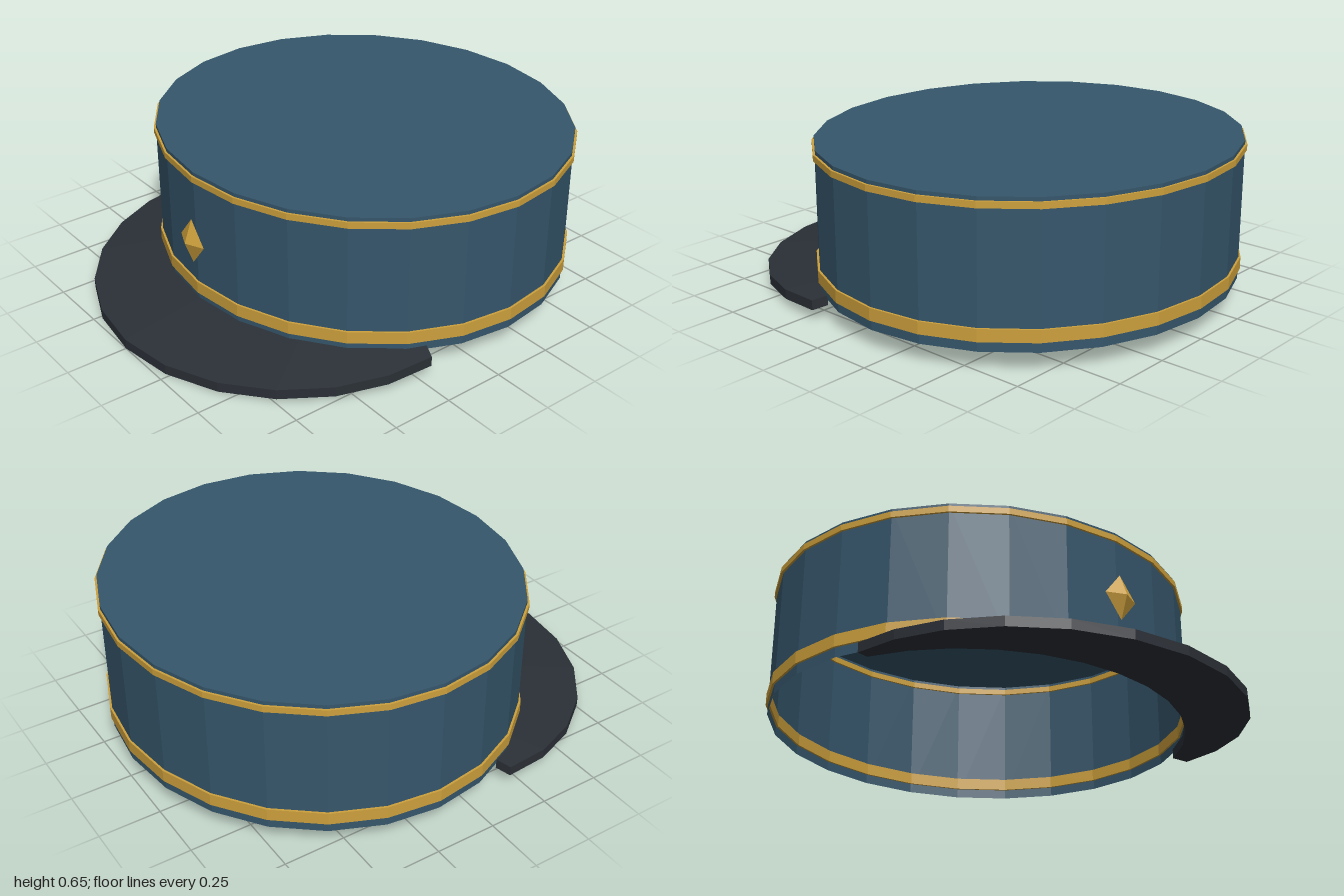
import * as THREE from 'three';

const SIDES = 24;
const RX = 0.88, RZ = 0.822, CENTER_Z = -0.163;

const material = (name, color, side = THREE.FrontSide) =>
  new THREE.MeshStandardMaterial({ name, color, side, flatShading: true });

// Oval ring or shell turned from a profile of [radius, height] pairs
function turned(name, profile, mat) {
  const points = profile.map(([r, y]) => new THREE.Vector2(r, y));
  const mesh = new THREE.Mesh(new THREE.LatheGeometry(points, SIDES), mat);
  mesh.name = name;
  mesh.scale.z = RZ / RX;
  mesh.position.z = CENTER_Z;
  return mesh;
}

// Trim band that passes through the wall and shows on both sides
function band(name, y0, y1, mat) {
  const inner = 0.871, outer = 0.889;
  return turned(name, [[outer, y0], [outer, y1], [inner, y1], [inner, y0], [outer, y0]], mat);
}

// Crescent visor: widest and lowest at the front, built from radial sections
function visorGeometry() {
  const steps = 12, halfAngle = THREE.MathUtils.degToRad(65.4), thick = 0.04;
  const positions = [], index = [];
  for (let i = 0; i <= steps; i++) {
    const t = (i / steps) * 2 - 1;
    const a = t * halfAngle;
    const bulge = Math.cos(t * Math.PI / 2);
    const outer = 1.062 + 0.353 * bulge;
    const inner = 0.99;
    const yOuter = 0.085 - 0.045 * bulge;
    const yInner = 0.095;
    for (const [r, y] of [[inner, yInner], [outer, yOuter], [outer, yOuter - thick], [inner, yInner - thick]]) {
      positions.push(RX * r * Math.sin(a), y, CENTER_Z + RZ * r * Math.cos(a));
    }
  }
  for (let i = 0; i < steps; i++) {
    for (let k = 0; k < 4; k++) {
      const a = i * 4 + k, b = i * 4 + (k + 1) % 4;
      index.push(a, b, b + 4, a, b + 4, a + 4);
    }
  }
  // end caps
  const e = steps * 4;
  index.push(0, 2, 1, 0, 3, 2, e, e + 1, e + 2, e, e + 2, e + 3);
  const geometry = new THREE.BufferGeometry();
  geometry.setAttribute('position', new THREE.Float32BufferAttribute(positions, 3));
  geometry.setIndex(index);
  geometry.computeVertexNormals();
  return geometry;
}

export function createModel() {
  const blue = material('blueCloth', 0x35566b, THREE.DoubleSide);
  const gold = material('goldTrim', 0xcda03c);
  const dark = material('darkVisor', 0x2b3037);

  const hat = new THREE.Group();
  hat.name = 'peakedCap';

  // Crown: wall and flat top, open underneath
  hat.add(turned('crown', [[RX, 0.08], [RX, 0.65], [0, 0.65]], blue));
  hat.add(band('lowerBand', 0.12, 0.17, gold));
  hat.add(band('upperBand', 0.61, 0.635, gold));

  const visor = new THREE.Mesh(visorGeometry(), dark);
  visor.name = 'visor';
  hat.add(visor);

  // Badge: four-sided pyramid pointing forward
  const badgeGeometry = new THREE.ConeGeometry(1, 1, 4).rotateX(Math.PI / 2);
  badgeGeometry.scale(0.078, 0.095, 0.035);
  const badge = new THREE.Mesh(badgeGeometry, gold);
  badge.name = 'badge';
  badge.position.set(0, 0.36, 0.695);
  hat.add(badge);

  return hat;
}
